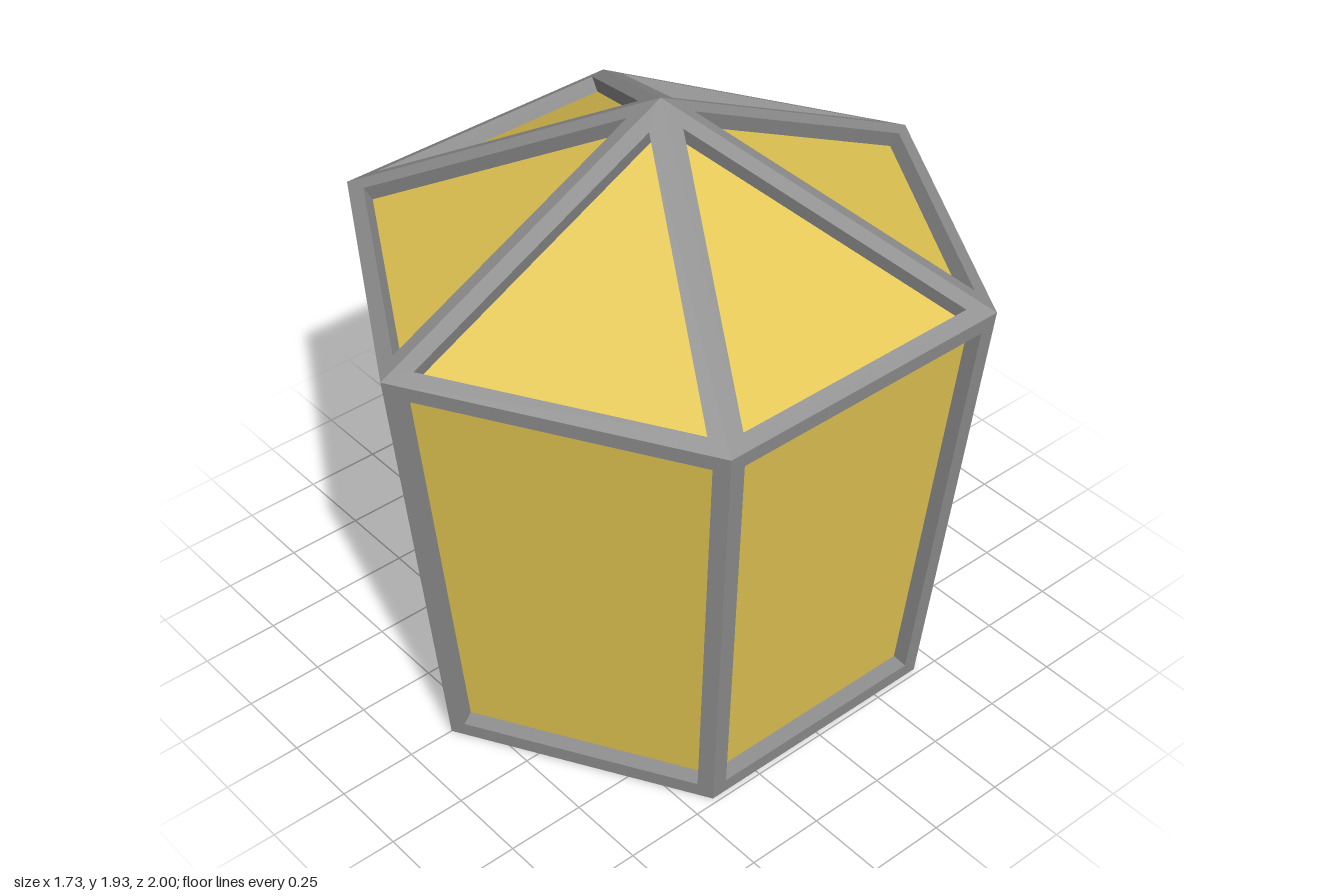
import * as THREE from 'three';

const INSET = 0.05; // frame width, measured in the plane of each face
const DEPTH = 0.05; // how far the glass sits behind the frame

const frameMat = new THREE.MeshStandardMaterial({ color: 0x8f8f8f });
frameMat.name = 'grey metal';
const glassMat = new THREE.MeshStandardMaterial({ color: 0xe2c552 });
glassMat.name = 'amber glass';

// Flat-shaded mesh from convex polygons (corners counter-clockwise from outside)
function polygonMesh(name, polygons, material) {
  const points = [];
  for (const p of polygons) {
    for (let i = 1; i < p.length - 1; i++) points.push(p[0], p[i], p[i + 1]);
  }
  const geometry = new THREE.BufferGeometry().setFromPoints(points);
  geometry.computeVertexNormals();
  const mesh = new THREE.Mesh(geometry, material);
  mesh.name = name;
  return mesh;
}

// Moves every edge of a convex polygon inward by the same distance
function insetPolygon(corners, distance) {
  const n = corners.length;
  return corners.map((c, i) => {
    const a = corners[(i + n - 1) % n].clone().sub(c).normalize();
    const b = corners[(i + 1) % n].clone().sub(c).normalize();
    const sine = a.clone().cross(b).length();
    return c.clone().addScaledVector(a.add(b), distance / sine);
  });
}

// One framed pane: flat border, recess walls and sunken glass
function framedPane(name, corners) {
  const n = corners.length;
  const inner = insetPolygon(corners, INSET);
  const normal = corners[1].clone().sub(corners[0])
    .cross(corners[2].clone().sub(corners[0])).normalize();
  const sunken = inner.map((c) => c.clone().addScaledVector(normal, -DEPTH));

  const frame = [];
  for (let i = 0; i < n; i++) {
    const j = (i + 1) % n;
    frame.push([corners[i], corners[j], inner[j], inner[i]]);
    frame.push([inner[i], inner[j], sunken[j], sunken[i]]);
  }
  const group = new THREE.Group();
  group.name = name;
  group.add(polygonMesh('frame', frame, frameMat), polygonMesh('glass', [sunken], glassMat));
  return group;
}

// Six corners of a horizontal hexagon, with one corner facing the front
function hexagon(radius, y) {
  return Array.from({ length: 6 }, (_, i) => {
    const a = (i * Math.PI) / 3;
    return new THREE.Vector3(radius * Math.sin(a), y, radius * Math.cos(a));
  });
}

export function createModel() {
  const model = new THREE.Group();
  model.name = 'lantern';

  const base = hexagon(0.847, 0);
  const eaves = hexagon(1, 1.435);
  const apex = new THREE.Vector3(0, 1.935, 0);

  // Flared walls and pyramid roof
  for (let i = 0; i < 6; i++) {
    const j = (i + 1) % 6;
    model.add(framedPane(`wall${i + 1}`, [base[i], base[j], eaves[j], eaves[i]]));
    model.add(framedPane(`roof${i + 1}`, [eaves[i], eaves[j], apex]));
  }

  // Solid underside
  model.add(polygonMesh('floor', [[...base].reverse()], frameMat));
  return model;
}
